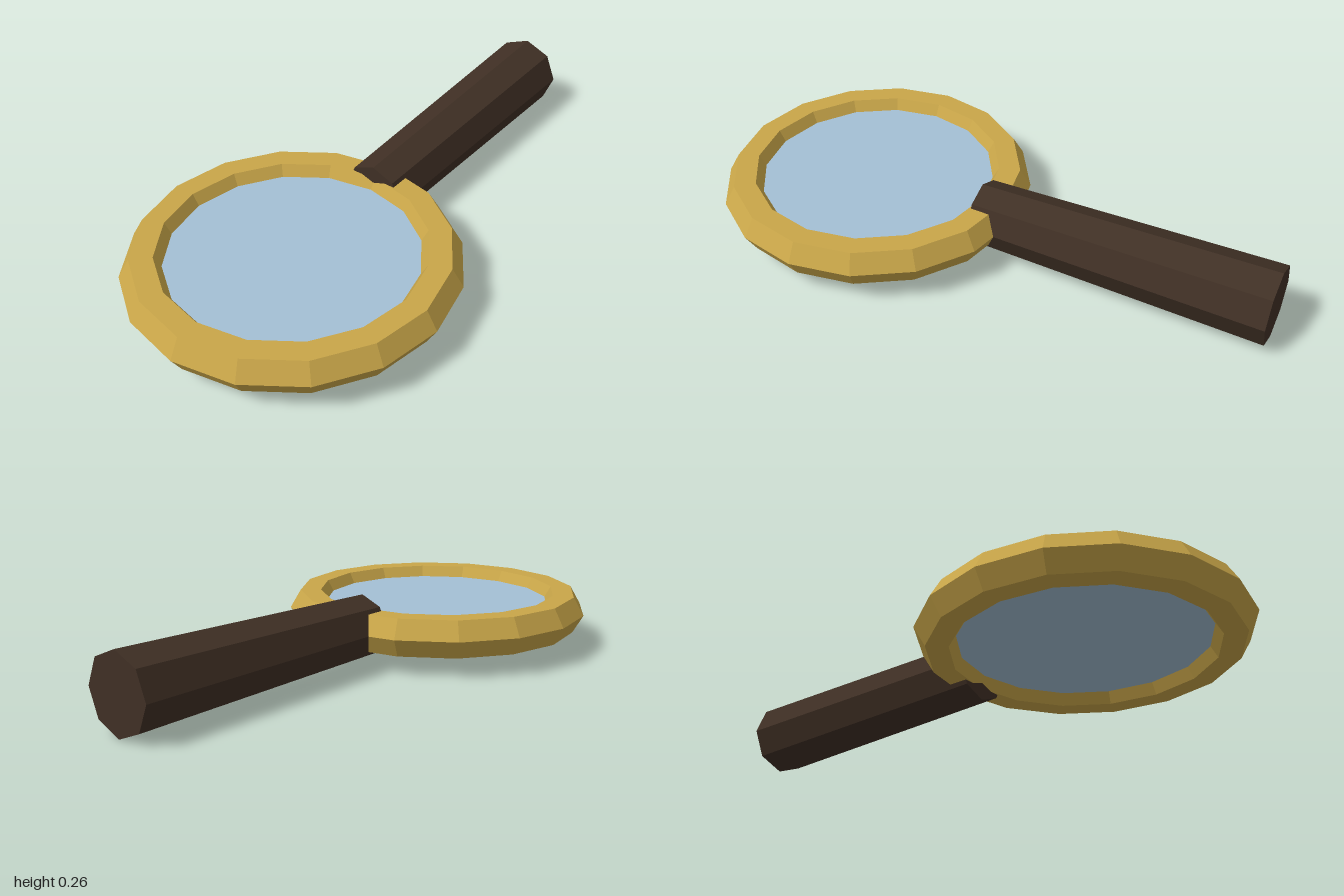
import * as THREE from 'three';

export function createModel() {
  const group = new THREE.Group();
  const flat = (name, color) => {
    const material = new THREE.MeshStandardMaterial({ color, flatShading: true });
    material.name = name;
    return material;
  };
  const brass = flat('brass', 0xc9a649);
  const wood = flat('dark wood', 0x403025);
  const glass = flat('pale blue glass', 0xa4c0d5);

  const centreY = 0.131;
  const lensX = -0.455;
  const add = (name, geometry, material, x) => {
    const mesh = new THREE.Mesh(geometry, material);
    mesh.name = name;
    mesh.position.set(x, centreY, 0);
    group.add(mesh);
  };

  // Hexagonal-section ring lying flat
  add('rim', new THREE.TorusGeometry(0.47, 0.075, 6, 16).rotateX(Math.PI / 2), brass, lensX);

  // Glass disc, its edge buried in the rim
  add('lens', new THREE.CylinderGeometry(0.42, 0.42, 0.052, 16), glass, lensX);

  // Octagonal handle, widening towards its free end and passing through the rim
  const start = -0.032, end = 1;
  add('handle', new THREE.CylinderGeometry(0.131, 0.111, end - start, 8).rotateZ(-Math.PI / 2),
    wood, (start + end) / 2);

  return group;
}
